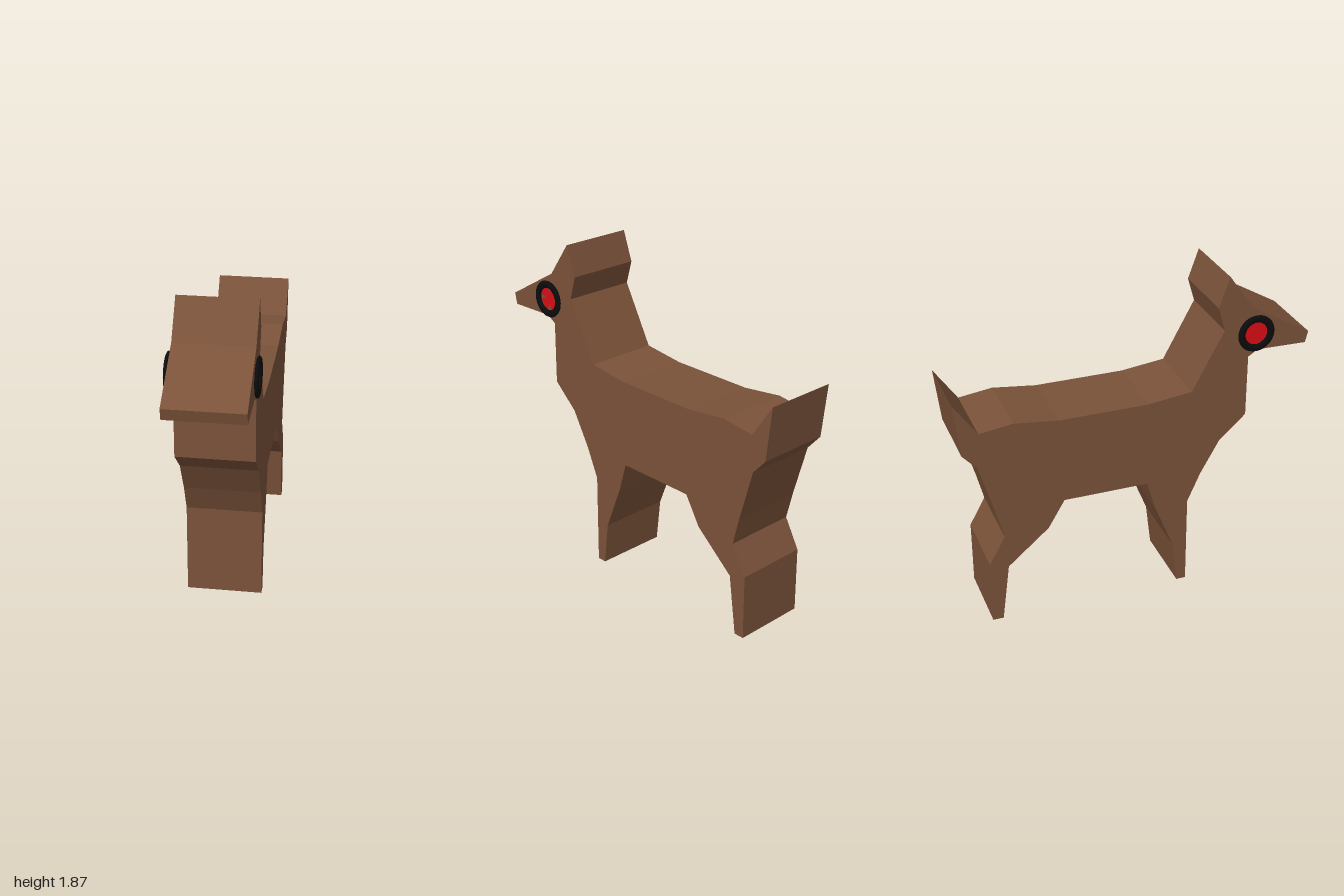
import * as THREE from 'three';

const HALF_WIDTH = 0.21;

// side outline as [z, y], clockwise from the nose
const OUTLINE = [
  // muzzle, throat and chest
  [1, 1.48], [0.985, 1.415], [0.7, 1.42], [0.645, 1.385], [0.645, 1.03], [0.495, 0.895], [0.385, 0.7],
  // front leg
  [0.31, 0.53], [0.31, 0], [0.255, 0], [0.225, 0.255], [0.115, 0.53], [0.065, 0.7],
  // belly and hind leg
  [-0.415, 0.7], [-0.51, 0.54], [-0.745, 0.34], [-0.79, 0], [-0.85, 0], [-0.85, 0.375], [-0.76, 0.54],
  // rump and tail
  [-0.8, 0.7], [-0.885, 1], [-0.965, 1.09], [-1, 1.395], [-0.87, 1.205],
  // back, neck and ear
  [-0.68, 1.23], [-0.435, 1.2], [0.07, 1.2], [0.32, 1.23], [0.5, 1.565], [0.46, 1.7], [0.52, 1.87], [0.66, 1.675],
];

const material = (color, extra = {}) => {
  const m = new THREE.MeshStandardMaterial(extra);
  m.color.set(color);
  return m;
};

function part(name, geometry, mat) {
  const mesh = new THREE.Mesh(geometry, mat);
  mesh.name = name;
  return mesh;
}

// round iris, optionally with four wedge notches between its arms
function irisShape(radius, notched) {
  const points = [];
  const n = 32;
  for (let i = 0; i < n; i++) {
    const a = (i / n) * Math.PI * 2;
    const r = notched && i % 8 === 0 ? radius * 0.5 : radius;
    points.push(new THREE.Vector2(Math.cos(a) * r, Math.sin(a) * r));
  }
  return new THREE.Shape(points);
}

function createEye(side, black, red) {
  const eye = new THREE.Group();
  eye.name = side > 0 ? 'leftEye' : 'rightEye';
  const ring = part('eyeRing', new THREE.TorusGeometry(0.085, 0.021, 12, 40), black);
  ring.scale.z = 0.55;
  ring.position.z = 0.014;
  const iris = part('iris', new THREE.ShapeGeometry(irisShape(0.068, side > 0)), red);
  iris.position.z = 0.004;
  eye.add(ring, iris);
  eye.position.set(side * HALF_WIDTH, 1.525, 0.68);
  eye.rotation.y = side * Math.PI / 2;
  return eye;
}

export function createModel() {
  const model = new THREE.Group();
  model.name = 'deer';
  const brown = material(0x7a5239, { flatShading: true });
  const black = material(0x0c0c0c);
  const red = material(0xd80c14);

  // flat silhouette given thickness across x
  const shape = new THREE.Shape(OUTLINE.map(([z, y]) => new THREE.Vector2(z, y)));
  const body = new THREE.ExtrudeGeometry(shape, { depth: HALF_WIDTH * 2, bevelEnabled: false });
  body.translate(0, 0, -HALF_WIDTH).rotateY(-Math.PI / 2);
  model.add(part('body', body, brown));

  for (const side of [-1, 1]) model.add(createEye(side, black, red));
  return model;
}
